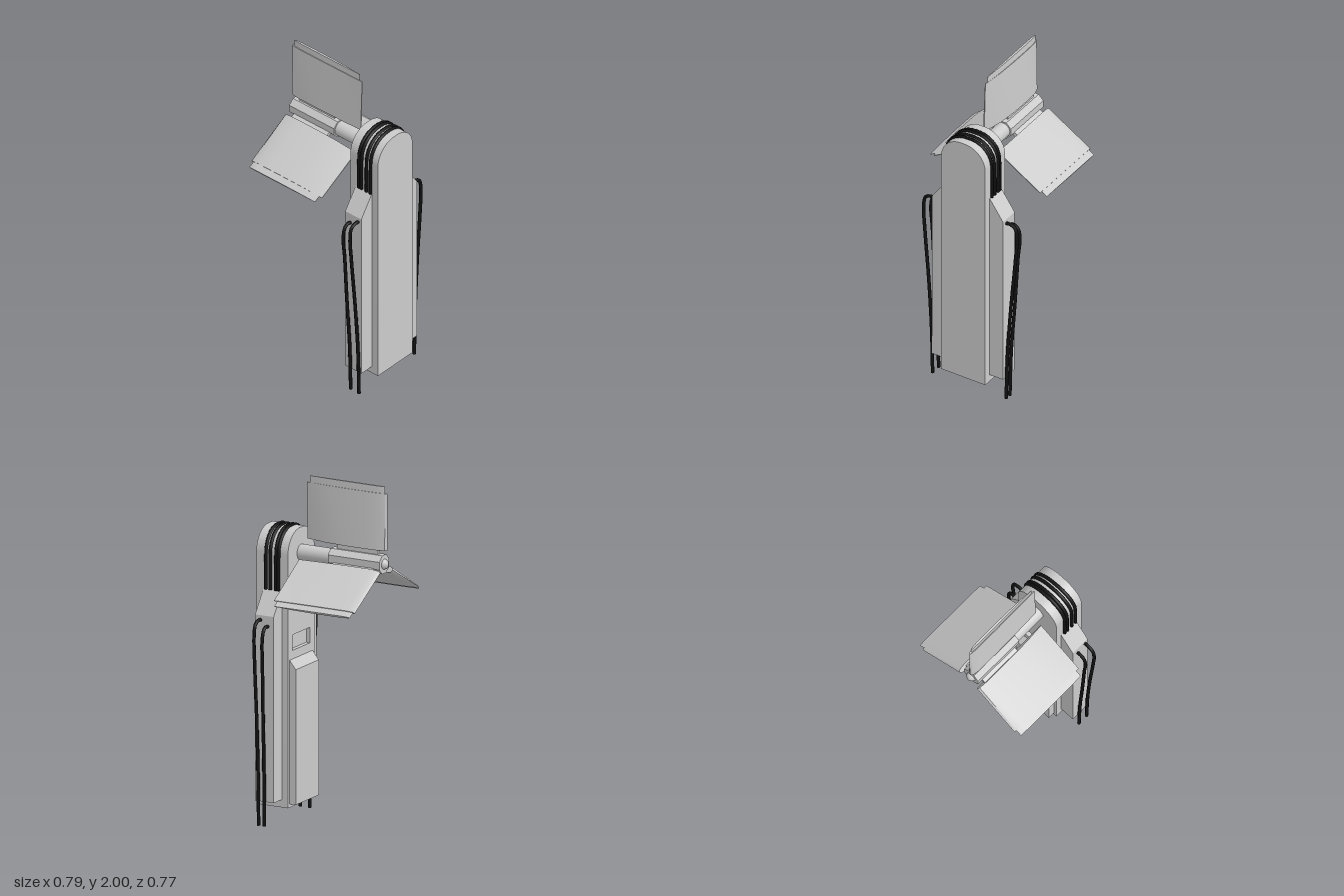
import * as THREE from 'three';
import { toCreasedNormals } from 'three/addons/utils/BufferGeometryUtils.js';

const grey = new THREE.MeshStandardMaterial({ color: 0xcccccc });
const black = new THREE.MeshStandardMaterial({ color: 0x111111 });

function add(parent, name, geometry, material = grey) {
  const mesh = new THREE.Mesh(geometry, material);
  mesh.name = name;
  parent.add(mesh);
  return mesh;
}

function extrude(shape, depth, z = 0) {
  const g = new THREE.ExtrudeGeometry(shape, { depth, bevelEnabled: false, curveSegments: 12 });
  g.translate(0, 0, z);
  return toCreasedNormals(g, 0.6);
}

const polygon = (pts) => new THREE.Shape(pts.map(([x, y]) => new THREE.Vector2(x, y)));

// Tall outline with a rounded top
const W = 0.147, TOP = 1.695, R = 0.135;
function bodyShape() {
  const s = new THREE.Shape();
  s.moveTo(-W, 0.095);
  s.lineTo(W, 0.095);
  s.lineTo(W, TOP - R);
  s.absarc(W - R, TOP - R, R, 0, Math.PI / 2);
  s.absarc(R - W, TOP - R, R, Math.PI / 2, Math.PI);
  s.closePath();
  return s;
}

function cable(parent, name, pts, radius = 0.01) {
  const curve = new THREE.CatmullRomCurve3(pts.map((p) => new THREE.Vector3(...p)));
  add(parent, name, new THREE.TubeGeometry(curve, 64, radius, 8), black);
  // Closed cable ends
  for (const p of [pts[0], pts[pts.length - 1]]) {
    const end = add(parent, name + 'End', new THREE.CylinderGeometry(radius, radius, 0.002, 8), black);
    end.position.set(p[0], p[1] + 0.001, p[2]);
  }
}

// Airfoil section stretched along y, thinning from root to tip
function bladeSection(y0, y1, thick0, thick1, zNose, zTail) {
  const len = zTail - zNose;
  const outline = [[-0.022, 1], [-0.026, 0.75], [-0.029, 0.4], [-0.029, 0.1], [-0.022, 0.02], [-0.008, 0],
    [0.008, 0.02], [0.021, 0.1], [0.025, 0.25], [0.024, 0.5], [0.014, 0.75], [-0.014, 1]];
  const shape = polygon(outline.map(([x, t]) => [x, -(zNose + t * len)]));
  const g = new THREE.ExtrudeGeometry(shape, { depth: y1 - y0, bevelEnabled: false });
  g.rotateX(-Math.PI / 2);
  g.translate(0, y0, 0);
  const p = g.attributes.position;
  for (let i = 0; i < p.count; i++) {
    const t = (p.getY(i) - y0) / (y1 - y0);
    p.setX(i, p.getX(i) * THREE.MathUtils.lerp(thick0, thick1, t));
  }
  return toCreasedNormals(g, 0.6);
}

export function createModel() {
  const model = new THREE.Group();
  model.name = 'rotorPack';

  // Main casing: solid front plus a back plate with a slot
  const casing = new THREE.Group();
  casing.name = 'casing';
  model.add(casing);
  add(casing, 'casingFront', extrude(bodyShape(), 0.18, 0.205));
  const plate = bodyShape();
  plate.holes.push(new THREE.Path([[-0.1, 1.0], [-0.1, 1.09], [0.095, 1.09], [0.095, 1.0]]
    .map(([x, y]) => new THREE.Vector2(x, y))));
  add(casing, 'casingBackPlate', extrude(plate, 0.025, 0.18));

  // Side housings with sloped shoulders
  add(model, 'sideHousings', extrude(polygon([[-0.237, 0.14], [0.237, 0.14], [0.237, 1.22],
    [0.147, 1.35], [-0.147, 1.35], [-0.237, 1.22]]), 0.12, 0.22));

  // Back cover with a chamfered top edge, profile drawn in z and y
  const cover = extrude(polygon([[-0.19, 0.115], [-0.14, 0.115], [-0.14, 0.9], [-0.18, 0.95], [-0.19, 0.95]]), 0.256, -0.128);
  cover.rotateY(Math.PI / 2);
  add(model, 'backCover', cover);

  // Cables wrapped over the rounded top
  [[0.245, 0.24], [0.265, 0.257], [0.302, 0.294], [0.332, 0.322]].forEach(([zl, zr], n) => {
    const pts = [[-W - 0.003, 1.35], [-W - 0.003, 1.45]];
    for (let i = 0; i <= 12; i++) {
      const a = Math.PI * (1 - i / 12);
      pts.push([Math.cos(a) * R + Math.sign(Math.round(Math.cos(a) * 100)) * (W - R), TOP - R + Math.sin(a) * R]);
    }
    pts.push([W + 0.003, 1.45], [W + 0.003, 1.35]);
    cable(model, 'topCable' + (n + 1), pts.map(([x, y]) => [x, y, THREE.MathUtils.lerp(zl, zr, (x + W) / (2 * W))]), 0.0105);
  });

  // Pairs of cables hanging down each side
  for (const side of [-1, 1]) {
    const zOff = side < 0 ? 0.012 : 0;
    [[1.195, 0.305, 0.315, 0.308], [1.162, 0.258, 0.265, 0.298]].forEach(([y, zTop, zEnd, reach], n) => {
      const z = (t) => zTop + (zEnd - zTop) * t + zOff * (n ? 0 : 1) + (n && side > 0 ? 0.012 * t : 0);
      cable(model, side < 0 ? 'rightSideCable' : 'leftSideCable', [
        [0.225, y - 0.004, z(0)], [0.265, y, z(0)], [reach - 0.012, y - 0.018, z(0)],
        [reach, y - 0.08, z(0.1)], [reach - 0.01, 0.95, z(0.3)], [0.27, 0.62, z(0.6)],
        [0.25, 0.3, z(0.9)], [0.242, 0, z(1)],
      ].map(([x, py, pz]) => [x * side, py, pz]));
    });
  }

  // Rotor around its own axis along z
  const rotor = new THREE.Group();
  rotor.name = 'rotor';
  rotor.position.y = 1.55;
  model.add(rotor);
  const shaft = add(rotor, 'shaft', new THREE.CylinderGeometry(0.046, 0.046, 0.22, 24));
  shaft.rotation.x = Math.PI / 2;
  shaft.position.z = 0.08;
  const hub = add(rotor, 'hub', toCreasedNormals(
    new THREE.CylinderGeometry(0.058, 0.058, 0.335, 8, 1, false, Math.PI / 8), 0.3));
  hub.rotation.x = Math.PI / 2;
  hub.position.z = -0.1925;
  const cap = add(rotor, 'hubCap', new THREE.SphereGeometry(0.031, 20, 14));
  cap.position.z = -0.354;

  // Three blades: root mount, main panel and inset tip
  for (let i = 0; i < 3; i++) {
    const blade = new THREE.Group();
    blade.name = 'blade' + (i + 1);
    blade.rotation.z = (i * Math.PI * 2) / 3;
    rotor.add(blade);
    const mount = add(blade, 'bladeMount', new THREE.BoxGeometry(0.022, 0.06, 0.265));
    mount.position.set(0, 0.07, -0.1925);
    add(blade, 'bladePanel', bladeSection(0.08, 0.41, 1, 0.45, -0.378, 0.146));
    add(blade, 'bladeTip', bladeSection(0.4, 0.45, 0.32, 0.25, -0.364, 0.126));
  }
  return model;
}
